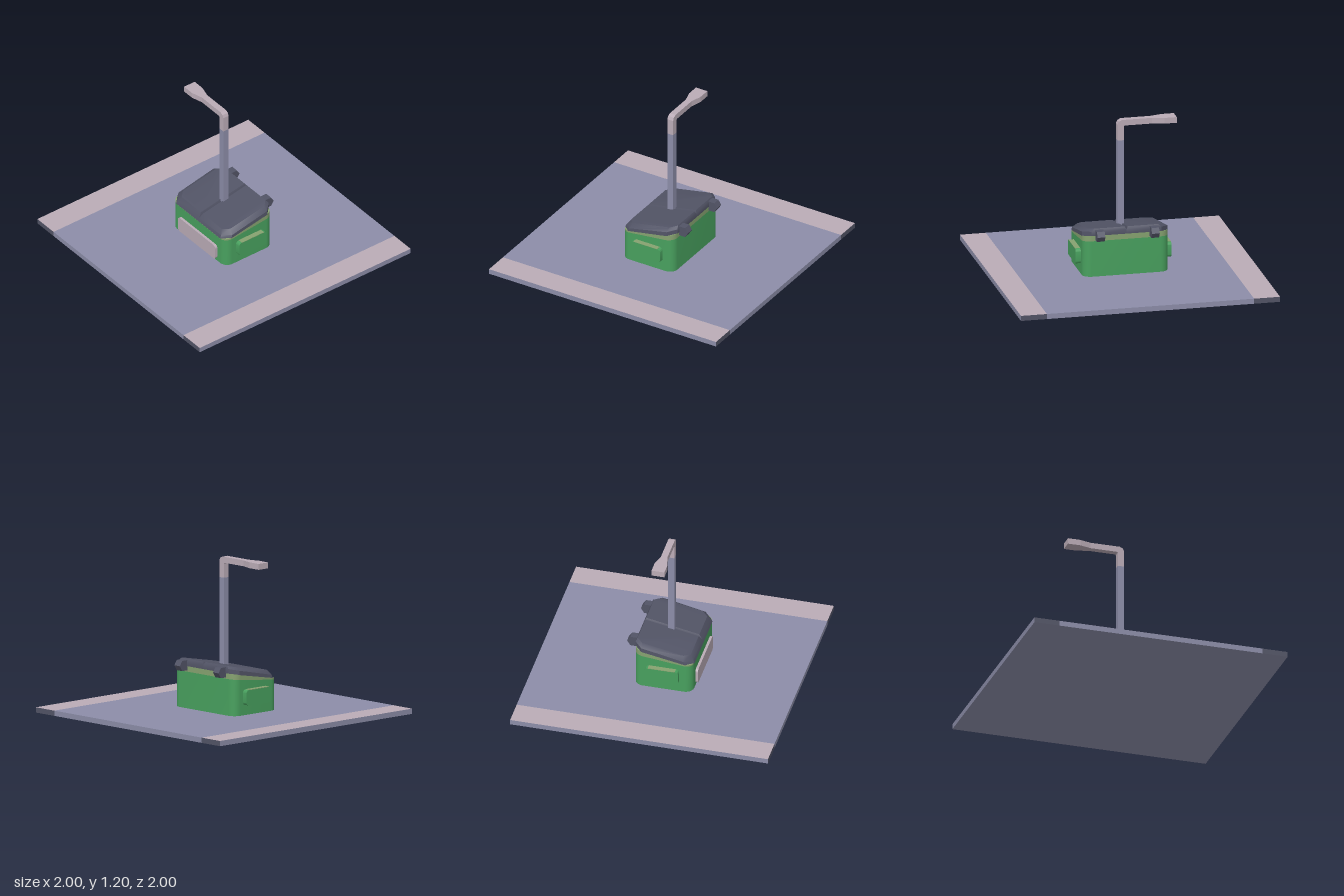
import * as THREE from 'three';
import { toCreasedNormals } from 'three/addons/utils/BufferGeometryUtils.js';

const mat = (name, color) => Object.assign(new THREE.MeshStandardMaterial({ color }), { name });

// Closed solid through rings of [x, y, z] points, all with the same count, bottom to top.
function loft(rings) {
  const first = rings[0], n = first.length;
  let area = 0;
  first.forEach((p, i) => { const q = first[(i + 1) % n]; area += p[0] * q[2] - q[0] * p[2]; });
  if (area > 0) rings = rings.map(r => [...r].reverse());
  const index = [];
  for (let k = 0; k < rings.length - 1; k++) {
    for (let i = 0; i < n; i++) {
      const a = k * n + i, b = k * n + (i + 1) % n;
      index.push(a, b, b + n, a, b + n, a + n);
    }
  }
  const top = (rings.length - 1) * n;
  for (let i = 1; i < n - 1; i++) index.push(top, top + i, top + i + 1, 0, i + 1, i);
  const g = new THREE.BufferGeometry();
  g.setAttribute('position', new THREE.Float32BufferAttribute(rings.flat(2), 3));
  g.setIndex(index);
  return toCreasedNormals(g, 0.6);
}

// Rounded rectangle centred on the origin.
function roundedShape(w, h, r) {
  const s = new THREE.Shape(), x = w / 2 - r, y = h / 2 - r;
  s.absarc(x, y, r, 0, Math.PI / 2);
  s.absarc(-x, y, r, Math.PI / 2, Math.PI);
  s.absarc(-x, -y, r, Math.PI, Math.PI * 1.5);
  s.absarc(x, -y, r, Math.PI * 1.5, Math.PI * 2);
  s.closePath();
  return s;
}

const polygon = pts => new THREE.Shape(pts.map(p => new THREE.Vector2(...p)));
const extrude = (shape, depth) =>
  new THREE.ExtrudeGeometry(shape, { depth, bevelEnabled: false, curveSegments: 5 }).translate(0, 0, -depth / 2);

export function createModel() {
  const model = new THREE.Group();
  const blue = mat('paving blue grey', 0x8c8da8);
  const pink = mat('pale mauve', 0xbaabb6);
  const green = mat('bin green', 0x48a05e);
  const olive = mat('rim olive', 0x86a270);
  const dark = mat('lid charcoal', 0x525466);

  const add = (name, geometry, material, x = 0, y = 0, z = 0) => {
    const m = new THREE.Mesh(geometry, material);
    m.name = name;
    m.position.set(x, y, z);
    model.add(m);
    return m;
  };

  // Ground tile with a pale kerb along the front and back
  add('paving', new THREE.BoxGeometry(2, 0.04, 1.6), blue, 0, 0.02, 0);
  for (const s of [1, -1]) {
    add('kerb', new THREE.BoxGeometry(2, 0.04, 0.2), [dark, dark, pink, blue, blue, blue], 0, 0.02, s * 0.9);
  }

  // Bin body and the rim under the lid, with sloping tops
  const outline = roundedShape(0.45, 0.66, 0.065).getPoints(5).slice(0, -1);
  const ring = height => outline.map(p => {
    const t = (p.x + 0.225) / 0.45;
    return [p.x - 0.015, height(t), p.y];
  });
  add('binBody', loft([ring(() => 0.04), ring(t => 0.27 + 0.05 * t)]), green);
  add('binRim', loft([ring(t => 0.27 + 0.05 * t), ring(t => 0.28 + 0.083 * t)]), olive);

  // Two sloping lid halves with chamfered outer corners and a groove between them
  const lidRing = (s, x0, x1, y0, y1, zIn, zOut, c) =>
    [[x0, zIn], [x1, zIn], [x1, zOut - c], [x1 - c, zOut], [x0 + c, zOut], [x0, zOut - c]]
      .map(([x, z]) => [x, y0 + (y1 - y0) * (x - x0) / (x1 - x0), s * z]);
  for (const s of [1, -1]) {
    add('lid', loft([
      lidRing(s, -0.245, 0.215, 0.278, 0.363, 0, 0.332, 0.06),
      lidRing(s, -0.235, 0.215, 0.302, 0.398, 0, 0.33, 0.06),
      lidRing(s, -0.21, 0.203, 0.337, 0.417, 0.012, 0.292, 0.045),
    ]), dark);
  }

  // Hinge lugs on the high side
  const lug = polygon([[0.19, 0.33], [0.262, 0.33], [0.287, 0.37], [0.262, 0.408], [0.19, 0.408]]);
  for (const s of [1, -1]) add('hinge', extrude(lug, 0.06), dark, 0, 0, s * 0.21);

  // Side grips with a pale upper edge
  for (const s of [1, -1]) {
    add('sideGrip', toCreasedNormals(extrude(roundedShape(0.26, 0.118, 0.025), 0.06), 0.6), green, -0.01, 0.177, s * 0.34);
    add('gripTop', new THREE.BoxGeometry(0.21, 0.004, 0.04), olive, -0.01, 0.236, s * 0.35);
  }

  // Pale plate on the low side
  add('frontPlate', extrude(roundedShape(0.46, 0.125, 0.025), 0.03).rotateY(Math.PI / 2), pink, -0.245, 0.122, 0);

  // Street lamp: post, bent arm and flared head
  add('lampPost', new THREE.BoxGeometry(0.05, 1, 0.05), blue, 0, 0.54, 0);
  const arm = polygon([[-0.025, 1.04], [-0.025, 1.165], [-0.015, 1.188], [0.01, 1.2], [0.24, 1.2],
    [0.24, 1.155], [0.03, 1.155], [0.025, 1.148], [0.025, 1.04]]);
  add('lampArm', extrude(arm, 0.05).rotateY(Math.PI / 2), pink);
  const head = polygon([[-0.025, 0.24], [0.025, 0.24], [0.05, 0.33], [0.05, 0.427], [-0.05, 0.427], [-0.05, 0.33]]);
  add('lampHead', extrude(head, 0.045).rotateX(-Math.PI / 2), pink, 0, 1.1775, 0);

  return model;
}
